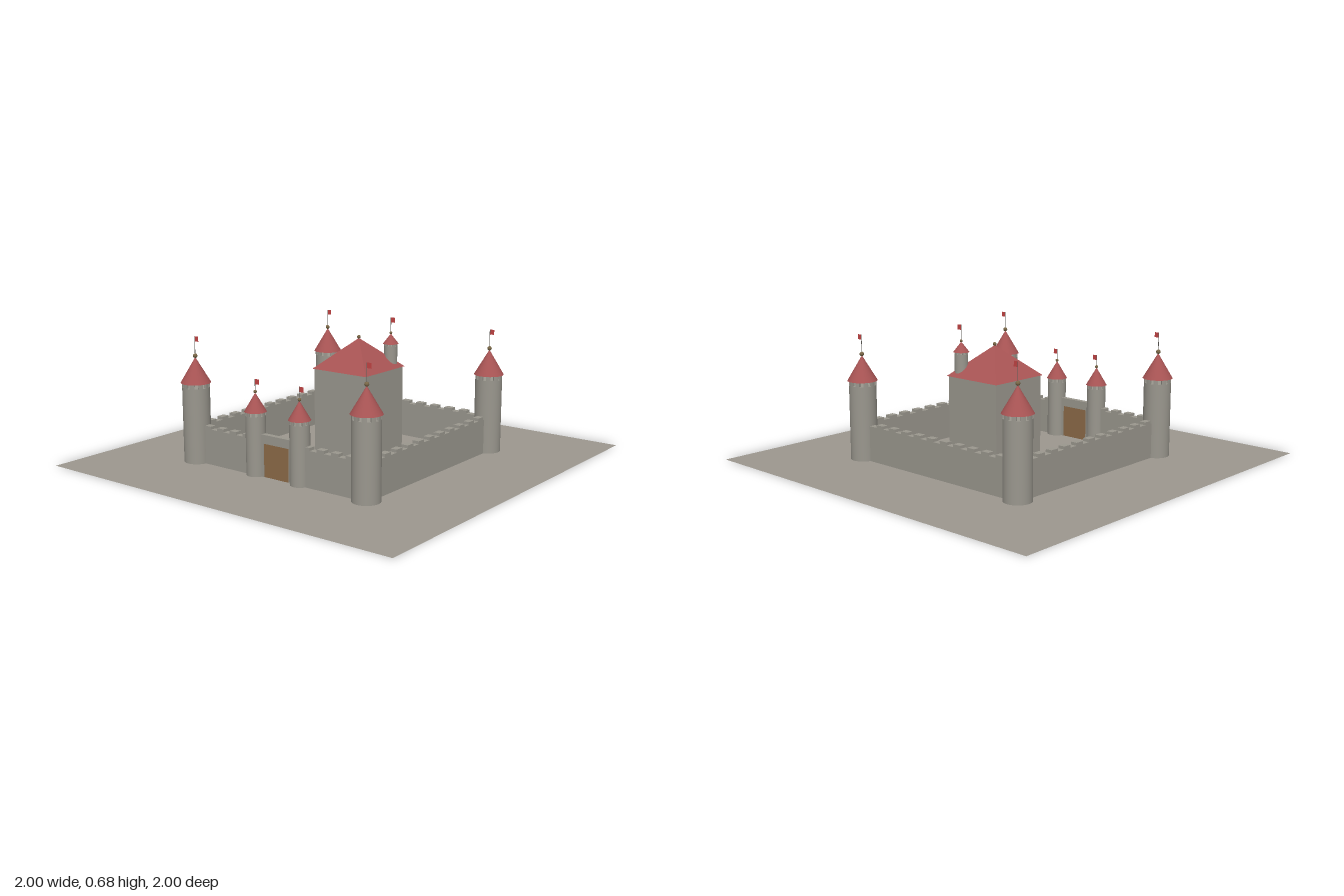
import * as THREE from 'three';

const mat = (name, color, side = THREE.FrontSide) => {
  const m = new THREE.MeshStandardMaterial({ color, side });
  m.name = name;
  return m;
};

export function createModel() {
  const castle = new THREE.Group();
  castle.name = 'castle';
  const stone = mat('stone', 0x9a978e);
  const earth = mat('ground', 0x9c978f, THREE.DoubleSide);
  const tile = mat('roof tile', 0xa85454);
  const wood = mat('door wood', 0x8c6a48);
  const brass = mat('finial', 0x7a6848);
  const iron = mat('pole', 0x66645f);
  const cloth = mat('flag cloth', 0xc44444, THREE.DoubleSide);

  const add = (parent, name, geo, material, x = 0, y = 0, z = 0) => {
    const m = new THREE.Mesh(geo, material);
    m.name = name;
    m.position.set(x, y, z);
    parent.add(m);
    return m;
  };
  const group = (parent, name, x, y, z) => {
    const g = new THREE.Group();
    g.name = name;
    g.position.set(x, y, z);
    parent.add(g);
    return g;
  };
  // Box standing on y0
  const box = (parent, name, material, w, h, d, x, y0, z) =>
    add(parent, name, new THREE.BoxGeometry(w, h, d), material, x, y0 + h / 2, z);

  // Curved merlon, a sector of a ring
  const merlonArc = (r, h, angle) => {
    const s = new THREE.Shape();
    s.absarc(0, 0, r, 0, angle, false);
    s.absarc(0, 0, r * 0.8, angle, 0, true);
    s.closePath();
    return new THREE.ExtrudeGeometry(s, { depth: h, bevelEnabled: false, curveSegments: 4 })
      .rotateX(-Math.PI / 2);
  };

  // Round tower: body, ring of merlons, cone roof, ball, pole and flag
  const tower = (name, x, y, z, o) => {
    const g = group(castle, name, x, y, z);
    add(g, 'towerBody', new THREE.CylinderGeometry(o.r, o.r, o.h, 32), stone, 0, o.h / 2, 0);
    const count = 10, step = Math.PI * 2 / count;
    const arc = merlonArc(o.r, o.gap, step * 0.55);
    for (let i = 0; i < count; i++)
      add(g, 'towerMerlon', arc, stone, 0, o.h, 0).rotation.y = i * step;
    const base = o.h + o.gap, apex = base + o.roofH;
    add(g, 'towerRoof', new THREE.ConeGeometry(o.roofR, o.roofH, 32), tile, 0, base + o.roofH / 2, 0);
    add(g, 'finial', new THREE.SphereGeometry(o.ball, 12, 8), brass, 0, apex + o.ball * 0.6, 0);
    const poleH = o.top - apex;
    add(g, 'flagPole', new THREE.CylinderGeometry(0.0015, 0.0015, poleH, 6), iron, 0, apex + poleH / 2, 0);
    add(g, 'flag', new THREE.PlaneGeometry(0.024, 0.025), cloth, 0.012, o.top - 0.0125, 0);
  };

  // Ground
  add(castle, 'ground', new THREE.PlaneGeometry(2, 2).rotateX(-Math.PI / 2), earth);

  // Corner and gate towers
  const S = 0.515;
  const corner = { r: 0.067, h: 0.374, gap: 0.021, roofR: 0.074, roofH: 0.125, ball: 0.011, top: 0.622 };
  const gate = { r: 0.048, h: 0.289, gap: 0.018, roofR: 0.053, roofH: 0.09, ball: 0.008, top: 0.462 };
  for (const sx of [-1, 1]) {
    for (const sz of [-1, 1]) tower('cornerTower', sx * S, 0, sz * S, corner);
    tower('gateTower', sx * 0.134, 0, 0.51, gate);
  }

  // Back and side walls, each a turned copy with alternating merlons
  const T = 0.034, H = 0.177, M = 0.014, cell = 0.04425;
  for (const [name, turn] of [['backWall', 0], ['leftWall', -1], ['rightWall', 1]]) {
    const g = group(castle, name, 0, 0, 0);
    g.rotation.y = turn * Math.PI / 2;
    box(g, 'wallBody', stone, 2 * S, H, T, 0, 0, -S);
    for (let i = 0; i < 20; i += 2)
      box(g, 'wallMerlon', stone, cell, M, T, -0.4425 + (i + 0.5) * cell, H, -S);
  }

  // Front wall, either side of the gate
  const front = group(castle, 'frontWall', 0, 0, S - 0.005);
  for (const sx of [-1, 1]) {
    box(front, 'wallBody', stone, 0.38, H, T, sx * 0.325, 0, 0);
    for (let i = 0; i < 4; i++)
      box(front, 'wallMerlon', stone, 0.041, M, T, sx * (0.1845 + i * 0.082), H, 0);
    box(front, 'gateJamb', stone, 0.06, 0.165, 0.027, sx * 0.106, 0, 0);
  }
  box(front, 'gateLintel', stone, 0.24, 0.043, 0.027, 0, 0.163, 0);
  box(front, 'gateDoor', wood, 0.152, 0.163, 0.02, 0, 0, 0);

  // Keep with pyramid roof
  const keep = group(castle, 'keep', 0, 0, -0.115);
  box(keep, 'keepBody', stone, 0.315, 0.43, 0.315, 0, 0, 0);
  const roof = new THREE.ConeGeometry(0.165 * Math.SQRT2, 0.15, 4, 1).rotateY(Math.PI / 4).toNonIndexed();
  roof.computeVertexNormals();
  add(keep, 'keepRoof', roof, tile, 0, 0.505, 0);
  add(keep, 'keepFinial', new THREE.SphereGeometry(0.009, 12, 8), brass, 0, 0.586, 0);

  // Turret on the keep's back corner
  tower('keepTurret', 0.114, 0.445, -0.229,
    { r: 0.033, h: 0.093, gap: 0.01, roofR: 0.039, roofH: 0.05, ball: 0.007, top: 0.235 });

  return castle;
}
